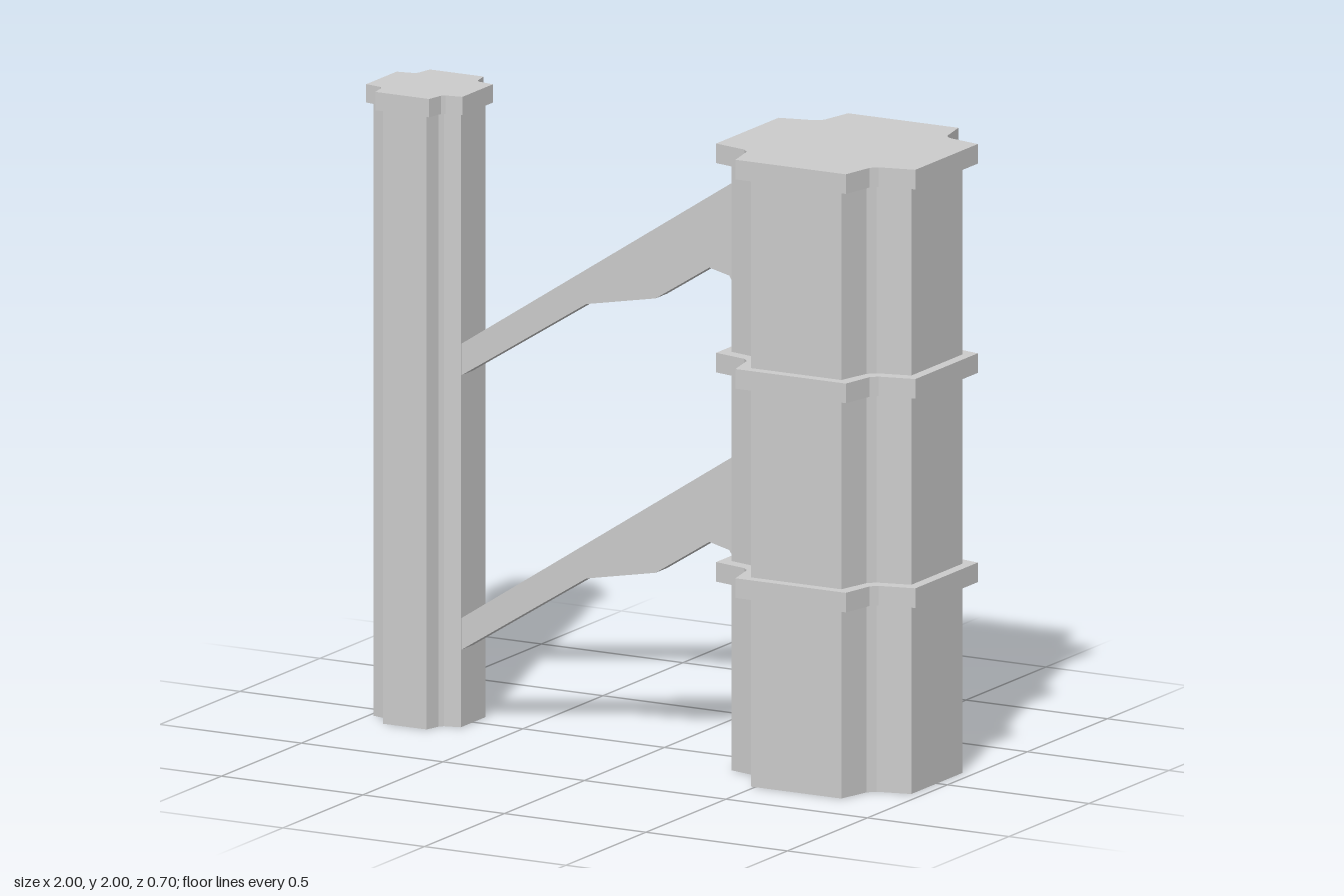
import * as THREE from 'three';

const material = new THREE.MeshStandardMaterial({ color: 0xcccccc, flatShading: true });

// Square outline with notched corners; the notch is one quarter's points, mirrored four times
function notchedShape(notch) {
  const pts = [];
  for (const [sx, sy] of [[1, 1], [-1, 1], [-1, -1], [1, -1]]) {
    const quarter = notch.map(([x, y]) => new THREE.Vector2(x * sx, y * sy));
    if (sx * sy < 0) quarter.reverse();
    pts.push(...quarter);
  }
  return new THREE.Shape(pts);
}

// Upright prism between two heights
function prism(name, notch, x, y0, y1) {
  const geo = new THREE.ExtrudeGeometry(notchedShape(notch), { depth: y1 - y0, bevelEnabled: false });
  geo.rotateX(-Math.PI / 2);
  const mesh = new THREE.Mesh(geo, material);
  mesh.name = name;
  mesh.position.set(x, y0, 0);
  return mesh;
}

export function createModel() {
  const group = new THREE.Group();
  group.name = 'bracedColumns';

  // Large column with two bands and a cap
  const large = new THREE.Group();
  large.name = 'largeColumn';
  const largeX = 0.645;
  const largeShaft = [[0.318, 0.16], [0.21, 0.187], [0.187, 0.21], [0.16, 0.318]];
  const largeBand = [[0.352, 0.195], [0.237, 0.222], [0.217, 0.242], [0.195, 0.352]];
  large.add(prism('largeShaft', largeShaft, largeX, 0, 1.95));
  [['lowerBand', 0.6], ['middleBand', 1.262], ['largeCap', 1.924]].forEach(([name, y]) =>
    large.add(prism(name, largeBand, largeX, y, y + 0.062)));
  group.add(large);

  // Small column with a cap
  const small = new THREE.Group();
  small.name = 'smallColumn';
  const smallX = -0.83;
  const smallShaft = [[0.154, 0.077], [0.102, 0.09], [0.09, 0.102], [0.077, 0.154]];
  const smallCap = [[0.17, 0.095], [0.115, 0.105], [0.105, 0.115], [0.095, 0.17]];
  small.add(prism('smallShaft', smallShaft, smallX, 0, 1.96));
  small.add(prism('smallCap', smallCap, smallX, 1.942, 2));
  group.add(small);

  // Two sloping braces, one a copy of the other further down
  const bracePoints = [
    [-0.68, 1.11], [-0.235, 1.39], [0.01, 1.437], [0.2, 1.557],
    [0.27, 1.54], [0.33, 1.45], [0.33, 1.867], [-0.68, 1.21],
  ].map(([x, y]) => new THREE.Vector2(x, y));
  const braceGeo = new THREE.ExtrudeGeometry(new THREE.Shape(bracePoints), { depth: 0.073, bevelEnabled: false });
  [['upperBrace', 0], ['lowerBrace', -0.868]].forEach(([name, y]) => {
    const brace = new THREE.Mesh(braceGeo, material);
    brace.name = name;
    brace.position.y = y;
    group.add(brace);
  });

  return group;
}
